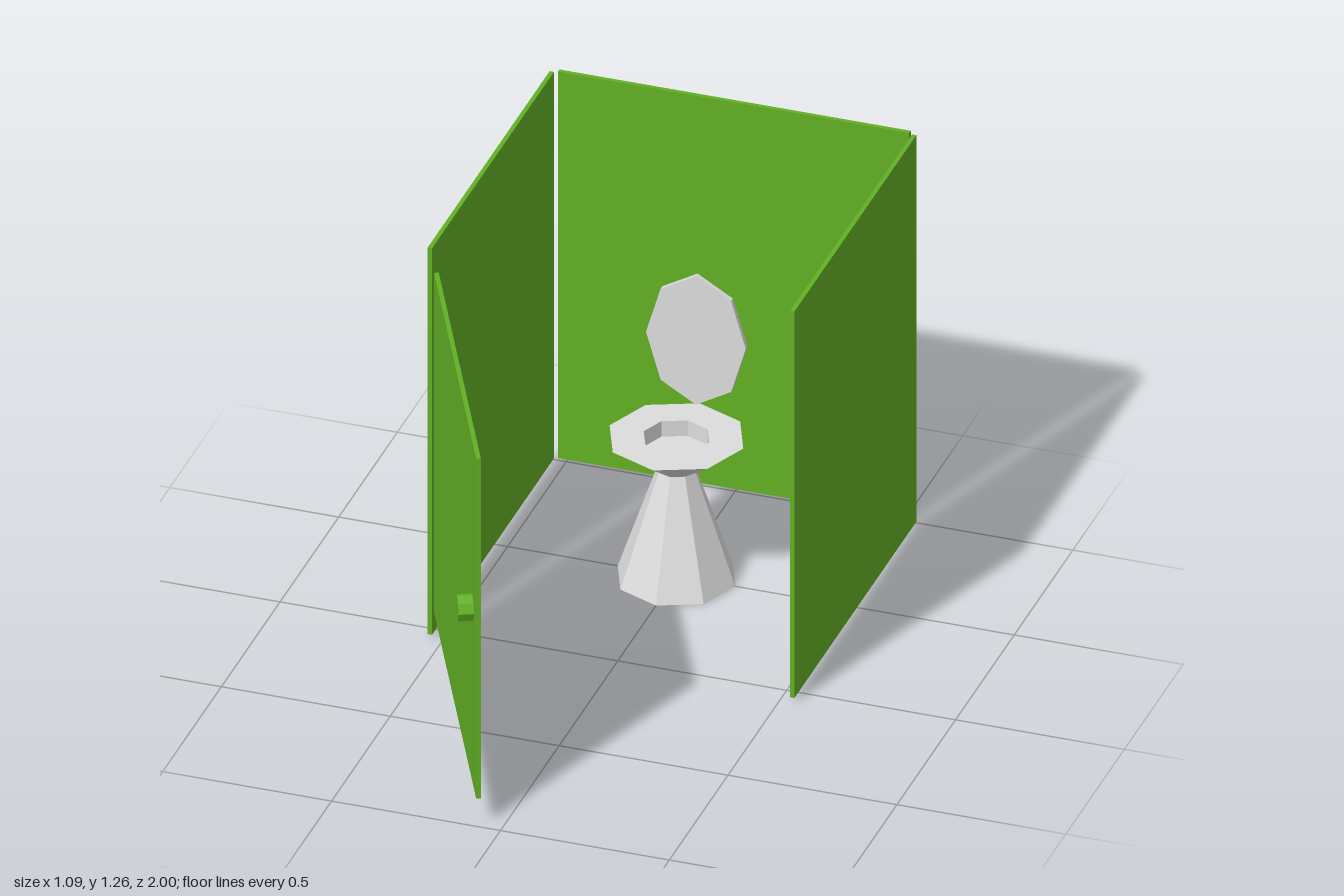
import * as THREE from 'three';

export function createModel() {
  const green = new THREE.MeshStandardMaterial({ name: 'panelGreen', color: 0x63b125, flatShading: true });
  const grey = new THREE.MeshStandardMaterial({ name: 'porcelainGrey', color: 0xdddddd, flatShading: true });
  const model = new THREE.Group();
  model.name = 'toiletStall';

  const add = (parent, name, geometry, material, x = 0, y = 0, z = 0) => {
    const mesh = new THREE.Mesh(geometry, material);
    mesh.name = name;
    mesh.position.set(x, y, z);
    parent.add(mesh);
    return mesh;
  };

  // Stall walls, raised slightly off the floor
  const thick = 0.013, wallHeight = 1.25, wallY = 0.64;
  add(model, 'backWall', new THREE.BoxGeometry(1.04, wallHeight, thick), green, 0, wallY, -0.9935);
  for (const [name, side] of [['leftWall', 1], ['rightWall', -1]]) {
    add(model, name, new THREE.BoxGeometry(thick, wallHeight, 1.04), green, side * 0.5365, wallY, -0.462);
  }

  // Door swung open about its hinge, with an eight-sided knob outside
  const doorLength = 1.04;
  const door = new THREE.Group();
  door.name = 'door';
  door.position.set(-0.516, 0, 0.06);
  door.rotation.y = -Math.atan2(0.937, 0.45);
  model.add(door);
  add(door, 'doorPanel', new THREE.BoxGeometry(doorLength, 1.1, thick), green, doorLength / 2, 0.64, 0);
  const knob = new THREE.CylinderGeometry(0.04, 0.04, 0.046, 8).rotateX(Math.PI / 2);
  add(door, 'doorKnob', knob, green, 0.945, 0.655, 0.027);

  // Pedestal, flared bowl and recessed opening in one turned profile
  const profile = [
    [0, 0], [0.174, 0], [0.055, 0.35], [0.198, 0.45], [0.097, 0.45], [0.097, 0.40], [0, 0.40],
  ].map(([r, y]) => new THREE.Vector2(r, y));
  add(model, 'toiletBowl', new THREE.LatheGeometry(profile, 8), grey, 0, 0, -0.5);

  // Raised lid, a narrow upright octagon
  const lid = new THREE.CylinderGeometry(0.208, 0.208, 0.015, 8).rotateX(Math.PI / 2).scale(0.71, 1, 1);
  add(model, 'toiletLid', lid, grey, -0.007, 0.659, -0.693);

  return model;
}
